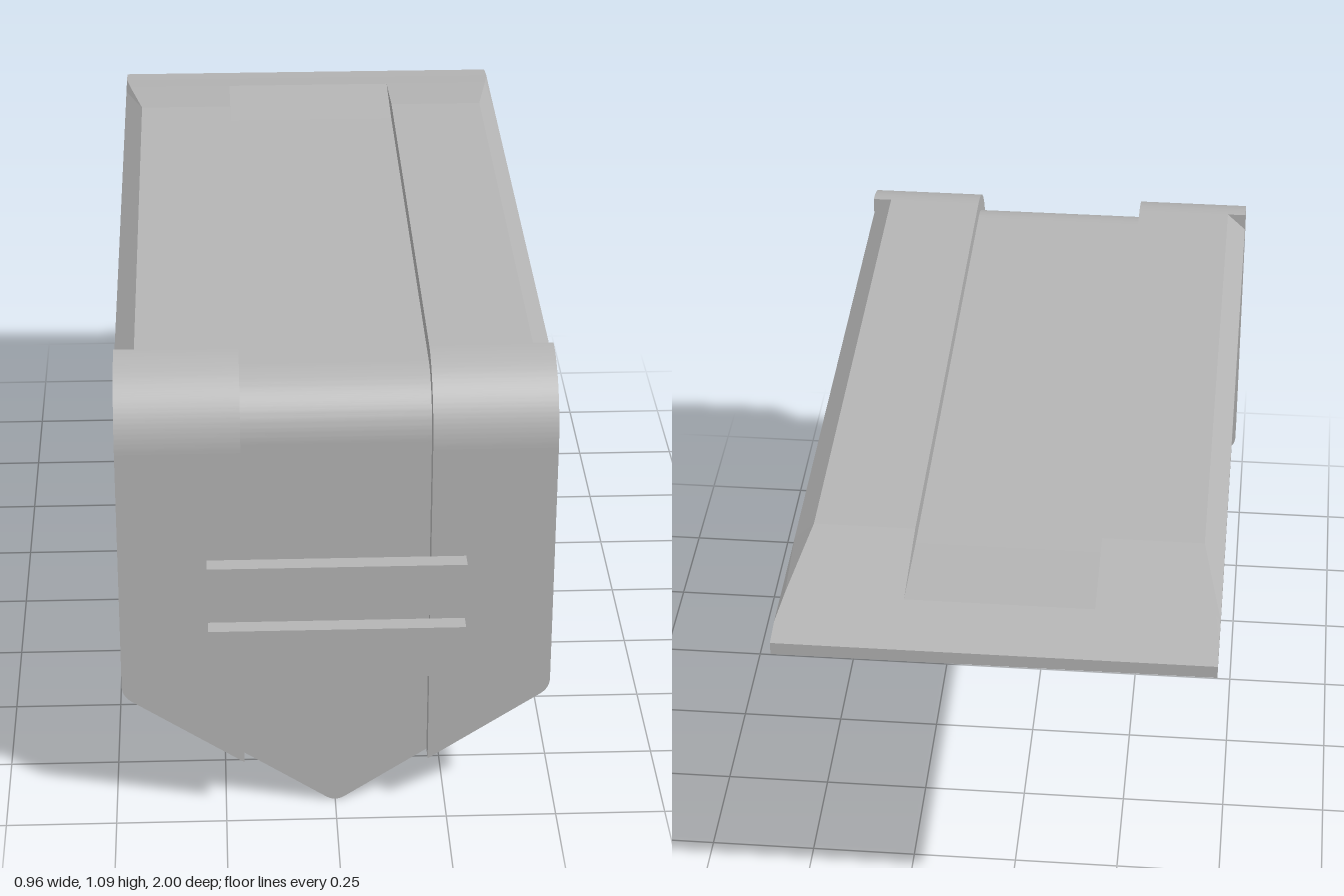
import * as THREE from 'three';
import { toCreasedNormals } from 'three/addons/utils/BufferGeometryUtils.js';

const HALF = 0.48, GROOVE = 0.208;          // half widths of body and central groove
const BACK = 0.88, THICK = 0.08, THIN = 0.04; // rear plane of the drop plate, strip thicknesses
const CZ = 0.79, CY = 0.924, INNER = 0.09;  // centre and inner radius of the bend
const UNDER = CY + INNER, TOP = UNDER + THICK, FLOOR = UNDER + THIN;

export function createModel() {
  const group = new THREE.Group();
  const grey = new THREE.MeshStandardMaterial({ color: 0xb4b4b4 });
  grey.name = 'plain grey';

  const add = (name, geometry) => {
    const mesh = new THREE.Mesh(geometry, grey);
    mesh.name = name;
    group.add(mesh);
    return mesh;
  };

  // Quarter-ring bend, extruded along x from x0 to x1
  const bend = (name, x0, x1, thick) => {
    const s = new THREE.Shape();
    s.absarc(CZ, CY, INNER + thick, 0, Math.PI / 2, false);
    s.absarc(CZ, CY, INNER, Math.PI / 2, 0, true);
    const g = new THREE.ExtrudeGeometry(s, { depth: x1 - x0, bevelEnabled: false, curveSegments: 24 });
    g.rotateY(-Math.PI / 2).translate(x1, 0, 0);
    add(name, toCreasedNormals(g, 0.5));
  };

  // Upright plate cut from a front outline
  const upright = (name, shape, thick) => {
    const g = new THREE.ExtrudeGeometry(shape, { depth: thick, bevelEnabled: false, curveSegments: 10 });
    add(name, toCreasedNormals(g.translate(0, 0, BACK), 0.5));
  };

  // Raised side strips
  for (const [side, s] of [['left', 1], ['right', -1]]) {
    const shape = new THREE.Shape();
    shape.moveTo(s * GROOVE, CY);
    shape.lineTo(s * GROOVE, 0.132);
    shape.lineTo(s * 0.457, 0.298);
    shape.quadraticCurveTo(s * HALF, 0.313, s * HALF, 0.34);
    shape.lineTo(s * HALF, CY);
    shape.closePath();
    upright(side + 'FrontStrip', shape, THICK);
    bend(side + 'Bend', s > 0 ? GROOVE : -HALF, s > 0 ? HALF : -GROOVE, THICK);
  }

  // Recessed centre strip with rounded tip
  const tip = new THREE.Shape();
  tip.moveTo(-GROOVE, CY);
  tip.lineTo(-GROOVE, 0.132);
  tip.lineTo(-0.022, 0.008);
  tip.quadraticCurveTo(0, -0.007, 0.022, 0.008);
  tip.lineTo(GROOVE, 0.132);
  tip.lineTo(GROOVE, CY);
  tip.closePath();
  upright('centreFrontStrip', tip, THIN);
  bend('centreBend', -GROOVE, GROOVE, THIN);

  // Top slab: cross-sections [z, top, floor of groove, chamfer x, chamfer foot y]
  const sections = [
    [CZ, TOP, FLOOR, 0.435, 1.052],
    [-0.63, TOP, FLOOR, 0.435, 1.052],
    [-0.85, 1.065, 1.065, 0.469, 1.052],
    [-0.935, 1.053, 1.053, HALF, 1.053],
    [-1, 1.044, 1.044, HALF, 1.044],
  ];
  const rings = sections.map(([z, top, floor, cx, foot]) => {
    const half = [[HALF, UNDER], [HALF, foot], [cx, top], [GROOVE, top], [GROOVE, floor]];
    const mirrored = half.map(([x, y]) => [-x, y]).reverse();
    return [...half, ...mirrored].map(([x, y]) => [x, y, z]);
  });
  const pos = [];
  const quad = (a, b, c, d) => pos.push(...a, ...b, ...c, ...a, ...c, ...d);
  for (let i = 0; i < rings.length - 1; i++) {
    const p = rings[i], q = rings[i + 1], n = p.length;
    for (let j = 0; j < n; j++) {
      const k = (j + 1) % n;
      quad(p[j], q[j], q[k], p[k]);
    }
  }
  const end = rings[rings.length - 1];
  quad(end[0], end[9], end[8], end[1]); // rear edge
  const slab = new THREE.BufferGeometry();
  slab.setAttribute('position', new THREE.Float32BufferAttribute(pos, 3));
  slab.computeVertexNormals();
  add('topSlab', slab);

  // Two cross bars bridging the groove
  for (const [name, y] of [['lowerBar', 0.4385], ['upperBar', 0.597]]) {
    add(name, new THREE.BoxGeometry(0.57, 0.125, 0.04)).position.set(0, y, 0.98);
  }

  return group;
}
